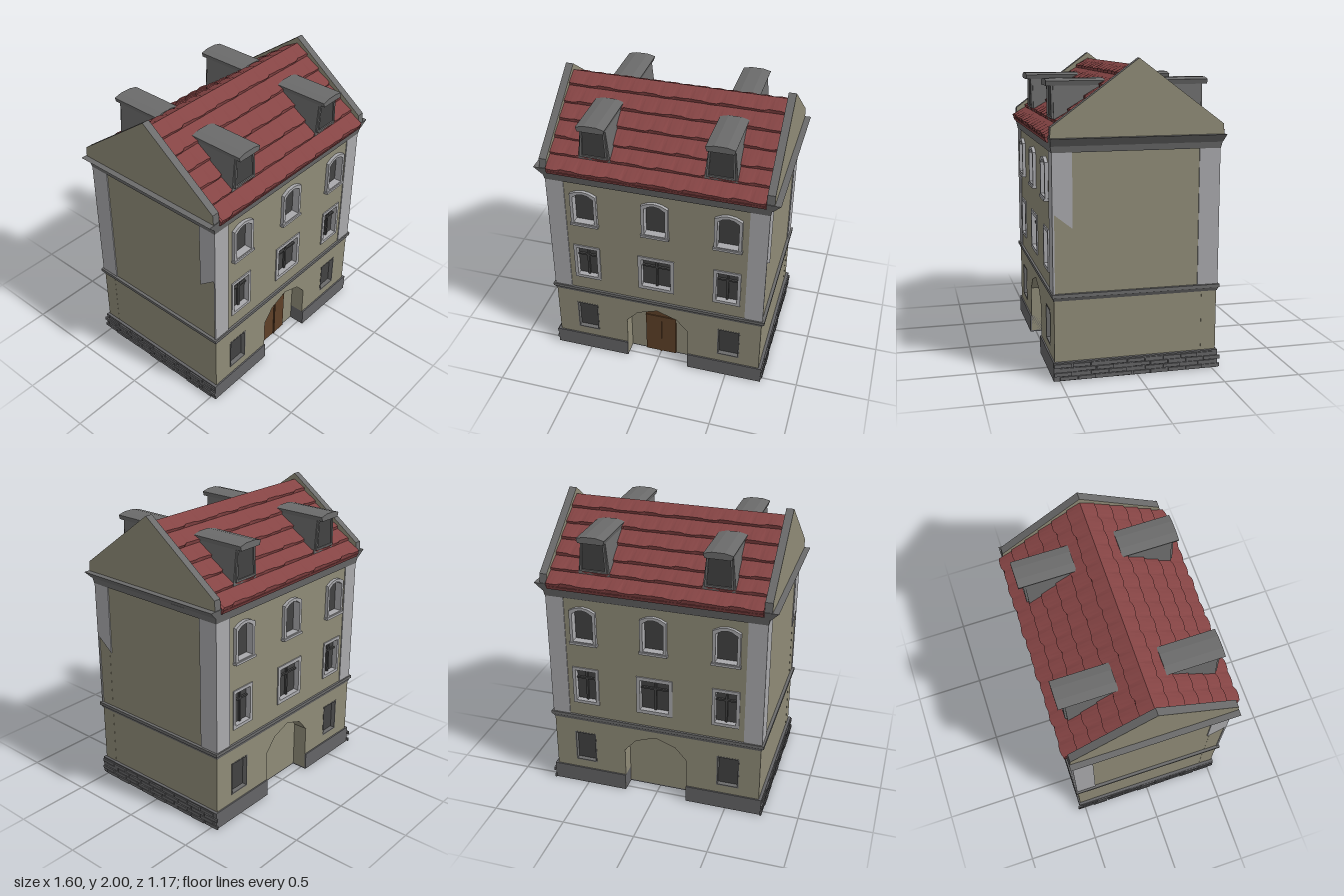
import * as THREE from 'three';

const mat = (name, color) => {
  const m = new THREE.MeshStandardMaterial({ color });
  m.name = name;
  return m;
};

export function createModel() {
  const house = new THREE.Group();
  house.name = 'townHouse';
  const plaster = mat('plaster', 0x8f8b77);
  const trim = mat('lightTrim', 0xa9a9ac);
  const stone = mat('greyStone', 0x6b6b6b);
  const plinthMat = mat('plinthStone', 0x646466);
  const tile = mat('redTile', 0x854444);
  const glass = mat('darkGlass', 0x424242);
  const wood = mat('doorWood', 0x5e4027);

  const add = (parent, name, geo, material, x = 0, y = 0, z = 0) => {
    const m = new THREE.Mesh(geo, material);
    m.name = name;
    m.position.set(x, y, z);
    parent.add(m);
    return m;
  };
  const box = (parent, name, material, w, h, d, x, y, z) =>
    add(parent, name, new THREE.BoxGeometry(w, h, d), material, x, y, z);
  const shapeOf = (pts) => new THREE.Shape(pts.map(([x, y]) => new THREE.Vector2(x, y)));
  const extrude = (shape, depth) => new THREE.ExtrudeGeometry(shape, { depth, bevelEnabled: false });

  // Box whose top and bottom rectangles differ
  const taper = (wb, db, wt, dt, h) => {
    const g = new THREE.BoxGeometry(1, h, 1).toNonIndexed();
    const p = g.attributes.position;
    for (let i = 0; i < p.count; i++) {
      const top = p.getY(i) > 0;
      p.setX(i, p.getX(i) * (top ? wt : wb));
      p.setZ(i, p.getZ(i) * (top ? dt : db));
    }
    g.computeVertexNormals();
    return g;
  };

  // Window outline, optionally with a shallow arched head
  const outline = (x, y, w, h, rise) => {
    const a = w / 2;
    const pts = [[x - a, y], [x + a, y], [x + a, y + h - rise]];
    if (rise) pts.push([x + a * 0.5, y + h - rise * 0.25], [x, y + h], [x - a * 0.5, y + h - rise * 0.25]);
    pts.push([x - a, y + h - rise]);
    return pts;
  };

  // Windows of one facade: centre x, sill y, width, height, arch rise, border, projection
  const windows = [];
  for (const s of [-1, 1]) {
    windows.push([s * 0.51, 0.18, 0.155, 0.235, 0, 0.008, 0.002]);
    windows.push([s * 0.485, 0.66, 0.185, 0.275, 0, 0.022, 0.008]);
    windows.push([s * 0.482, 1.12, 0.18, 0.27, 0.03, 0.02, 0.022]);
  }
  windows.push([0, 0.66, 0.25, 0.275, 0, 0.025, 0.008], [0, 1.12, 0.18, 0.27, 0.03, 0.02, 0.022]);

  // Core and base
  box(house, 'coreWalls', plaster, 1.458, 1.48, 0.86, 0, 0.75, 0);
  const plan = shapeOf([[-0.75, -0.54], [-0.22, -0.54], [-0.22, -0.428], [0.22, -0.428], [0.22, -0.54], [0.75, -0.54],
    [0.75, 0.54], [0.22, 0.54], [0.22, 0.428], [-0.22, 0.428], [-0.22, 0.54], [-0.75, 0.54]]);
  add(house, 'plinth', extrude(plan, 0.12), plinthMat).rotation.x = -Math.PI / 2;

  // Staggered stones on both ends of the plinth
  for (const s of [-1, 1]) for (let r = 0; r < 4; r++) for (let c = 0; c < 9; c++) {
    const z = -0.48 + c * 0.118 + (r % 2 ? 0.018 : -0.018);
    box(house, 'plinthStone', plinthMat, 0.012, 0.023, 0.11, s * (0.75 + 0.002 * ((c * 2 + r) % 3)), 0.016 + r * 0.028, z);
  }

  // Front and back facades
  for (const side of [0, 1]) {
    const f = new THREE.Group();
    f.name = side ? 'backFacade' : 'frontFacade';
    f.rotation.y = side * Math.PI;
    house.add(f);

    const wall = shapeOf([[-0.73, 0.01], [-0.22, 0.01], [-0.22, 0.33], [-0.14, 0.42], [0, 0.47], [0.14, 0.42],
      [0.22, 0.33], [0.22, 0.01], [0.73, 0.01], [0.73, 1.48], [-0.73, 1.48]]);
    for (const [x, y, w, h, rise] of windows) wall.holes.push(shapeOf(outline(x, y, w, h, rise)));
    add(f, 'facadeWall', extrude(wall, 0.1), plaster, 0, 0, 0.43);

    for (const [x, y, w, h, rise, b, out] of windows) {
      const ring = shapeOf(outline(x, y, w, h, rise));
      ring.holes.push(shapeOf(outline(x, y + b, w - 2 * b, h - 2 * b, rise)));
      add(f, 'windowFrame', extrude(ring, 0.045 + out), y < 0.5 ? stone : trim, 0, 0, 0.485);
      add(f, 'windowPane', new THREE.ShapeGeometry(shapeOf(outline(x, y, w, h, rise))), glass, 0, 0, 0.5);
      // Casement bars on the middle floor
      if (y > 0.6 && y < 1) {
        box(f, 'windowMullion', glass, 0.014, h - 2 * b, 0.016, x, y + h / 2, 0.506);
        box(f, 'windowTransom', glass, w - 2 * b, 0.012, 0.016, x, y + h * 0.68, 0.506);
      }
      if (y > 1) box(f, 'windowSill', trim, w + 0.012, 0.016, 0.05, x, y + 0.005, 0.535);
    }
    // Corner pilasters
    for (const s of [-1, 1]) box(f, 'cornerPilaster', trim, 0.123, 0.89, 0.012, s * 0.6745, 1.0, 0.53);
  }

  // Door, only at the front
  const doorShape = shapeOf([[-0.11, 0.005], [0.11, 0.005], [0.11, 0.385], [0.085, 0.425], [0.045, 0.45], [0, 0.46],
    [-0.045, 0.45], [-0.085, 0.425], [-0.11, 0.385]]);
  add(house, 'door', extrude(doorShape, 0.012), wood, 0, 0, 0.428);
  box(house, 'doorRail', wood, 0.22, 0.012, 0.012, 0, 0.335, 0.44);
  box(house, 'doorPost', wood, 0.012, 0.33, 0.012, 0, 0.17, 0.44);

  // Pilasters returning around the end walls, the front ones cut short
  for (const s of [-1, 1]) {
    const back = shapeOf([[0.4, 0.555], [0.536, 0.555], [0.536, 1.445], [0.4, 1.445]].map(([z, y]) => [s * z, y]));
    const front = shapeOf([[-0.536, 1.07], [-0.41, 0.97], [-0.41, 1.445], [-0.536, 1.445]].map(([z, y]) => [s * z, y]));
    for (const sh of [back, front]) {
      add(house, 'endPilaster', extrude(sh, 0.008), trim, s * 0.728, 0, 0).rotation.y = s * Math.PI / 2;
    }
  }

  // String course and cornice
  add(house, 'stringCourseLower', taper(1.465, 1.065, 1.49, 1.08, 0.025), stone, 0, 0.5275, 0);
  box(house, 'stringCourseUpper', stone, 1.5, 0.022, 1.09, 0, 0.55, 0);
  add(house, 'corniceLower', taper(1.475, 1.075, 1.49, 1.09, 0.04), stone, 0, 1.46, 0);
  add(house, 'corniceUpper', taper(1.5, 1.09, 1.6, 1.11, 0.05), stone, 0, 1.505, 0);

  // Gable ends with grey coping on the slopes
  const gable = shapeOf([[-0.55, 1.528], [0.55, 1.528], [0.545, 1.595], [0, 2], [-0.545, 1.595]]);
  for (const s of [-1, 1]) {
    const g = add(house, 'gable', extrude(gable, 0.05), [plaster, stone], s * 0.735 - 0.025, 0, 0);
    g.rotation.y = Math.PI / 2;
  }

  // Roof body under the tiles
  const roof = shapeOf([[-0.56, 1.5], [0.56, 1.5], [0.572, 1.525], [0, 1.95], [-0.572, 1.525]]);
  add(house, 'roofBody', extrude(roof, 1.42), tile, -0.71, 0, 0).rotation.y = Math.PI / 2;

  // One overlapping course of tiles, running down from z0 to z1
  const courseGeo = (z0, z1, row) => {
    const cols = 14, seg = 4;
    const g = new THREE.PlaneGeometry(1, 1, cols * seg, 2);
    const p = g.attributes.position;
    const n = cols * seg + 1;
    for (let i = 0; i < p.count; i++) {
      const c = i % n, v = Math.floor(i / n), k = (c % seg) / seg;
      const bulge = 0.012 * Math.sin(Math.PI * k);
      const wobble = 0.004 * Math.sin(Math.floor(c / seg) * 2.3 + row * 1.7);
      const z = v === 0 ? z0 : z1 + (v === 1 ? bulge * 0.7 + wobble : -0.004);
      const lift = v === 1 ? 0.02 + bulge * 0.7 : v === 0 ? 0.002 : -0.012;
      p.setXYZ(i, -0.71 + (1.42 * c) / (n - 1), 1.955 - 0.745 * z + lift, z);
    }
    const flat = g.toNonIndexed();
    flat.computeVertexNormals();
    return flat;
  };
  const edges = [0, 0.09, 0.19, 0.29, 0.39, 0.48, 0.572];

  // Flat-topped dormer, built facing +z
  const dormer = (parent, x) => {
    const d = new THREE.Group();
    d.name = 'dormer';
    d.position.x = x;
    parent.add(d);
    add(d, 'dormerWalls', taper(0.215, 0.34, 0.165, 0.34, 0.25), stone, 0, 1.715, 0.31);
    const top = shapeOf([[-0.085, 1.825], [0.085, 1.825], [0.094, 1.855], [0.04, 1.868], [-0.04, 1.868], [-0.094, 1.855]]);
    add(d, 'dormerRoof', extrude(top, 0.375), stone, 0, 0, 0.15);
    const ring = shapeOf([[-0.092, 1.622], [0.092, 1.622], [0.08, 1.83], [-0.08, 1.83]]);
    ring.holes.push(shapeOf([[-0.078, 1.635], [0.078, 1.635], [0.068, 1.815], [-0.068, 1.815]]));
    add(d, 'dormerFrame', extrude(ring, 0.015), stone, 0, 0, 0.478);
    const pane = shapeOf([[-0.08, 1.63], [0.08, 1.63], [0.07, 1.82], [-0.07, 1.82]]);
    add(d, 'dormerPane', new THREE.ShapeGeometry(pane), glass, 0, 0, 0.484);
  };

  for (const side of [0, 1]) {
    const slope = new THREE.Group();
    slope.name = side ? 'backRoofSlope' : 'frontRoofSlope';
    slope.rotation.y = side * Math.PI;
    house.add(slope);
    for (let r = 0; r < 6; r++) add(slope, 'tileCourse', courseGeo(edges[r], edges[r + 1], r), tile);
    for (const s of [-1, 1]) dormer(slope, s * 0.41);
  }

  return house;
}
